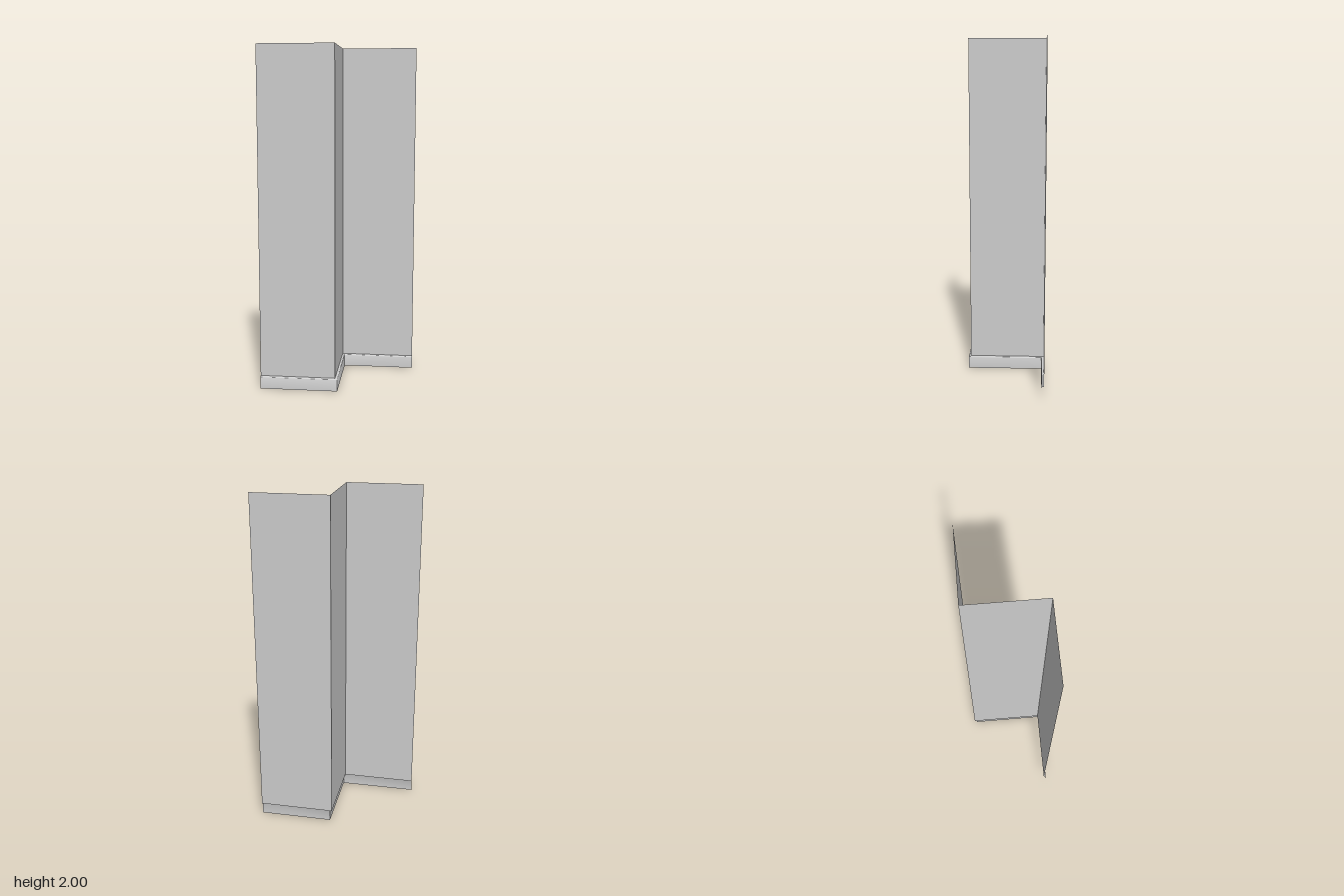
import * as THREE from 'three';
import { toCreasedNormals } from 'three/addons/utils/BufferGeometryUtils.js';

const HALF = 0.444, WALL_X = -0.001, FRONT_Z = 0.217, BACK_Z = -0.231;
const DEPTH = 0.014, BOARD_H = 0.075, HEIGHT = 2;

// Z-shaped plan line pushed out by d, with a small round on the outer corner
function planLine(d) {
  const x = WALL_X + d, zf = FRONT_Z + d, r = 0.4 * d;
  const line = [[-HALF, zf]];
  for (let i = 0; i <= 3; i++) {
    const a = Math.PI / 2 * (1 - i / 3);
    line.push([x - r + r * Math.cos(a), zf - r + r * Math.sin(a)]);
  }
  line.push([x, BACK_Z + d], [HALF, BACK_Z + d]);
  return line;
}

// Skin between plan lines; profile is a list of [offset, y] from bottom to top
function sweep(name, profile, material) {
  const pos = [], index = [];
  const rows = profile.map(([d, y]) => planLine(d).map(([x, z]) => [x, y, z]));
  const n = rows[0].length;
  rows.forEach(row => row.forEach(p => pos.push(...p)));
  for (let j = 0; j < rows.length - 1; j++) {
    for (let i = 0; i < n - 1; i++) {
      const a = j * n + i, b = a + n;
      index.push(a, a + 1, b + 1, a, b + 1, b);
    }
  }
  const geometry = new THREE.BufferGeometry();
  geometry.setAttribute('position', new THREE.Float32BufferAttribute(pos, 3));
  geometry.setIndex(index);
  const mesh = new THREE.Mesh(toCreasedNormals(geometry, 0.7), material);
  mesh.name = name;
  return mesh;
}

export function createModel() {
  const group = new THREE.Group();
  group.name = 'corneredWall';
  const material = new THREE.MeshStandardMaterial({ color: 0xcccccc, side: THREE.DoubleSide });

  // Thin wall sheet standing above the skirting
  group.add(sweep('wall', [[0, BOARD_H], [0, HEIGHT]], material));

  // Open-backed skirting: upright face, rounded shoulder, short flat top
  const r = 0.01, profile = [[DEPTH, 0]];
  for (let i = 0; i <= 5; i++) {
    const a = Math.PI / 2 * i / 5;
    profile.push([DEPTH - r + r * Math.cos(a), BOARD_H - r + r * Math.sin(a)]);
  }
  profile.push([0, BOARD_H]);
  group.add(sweep('skirtingBoard', profile, material));
  return group;
}
